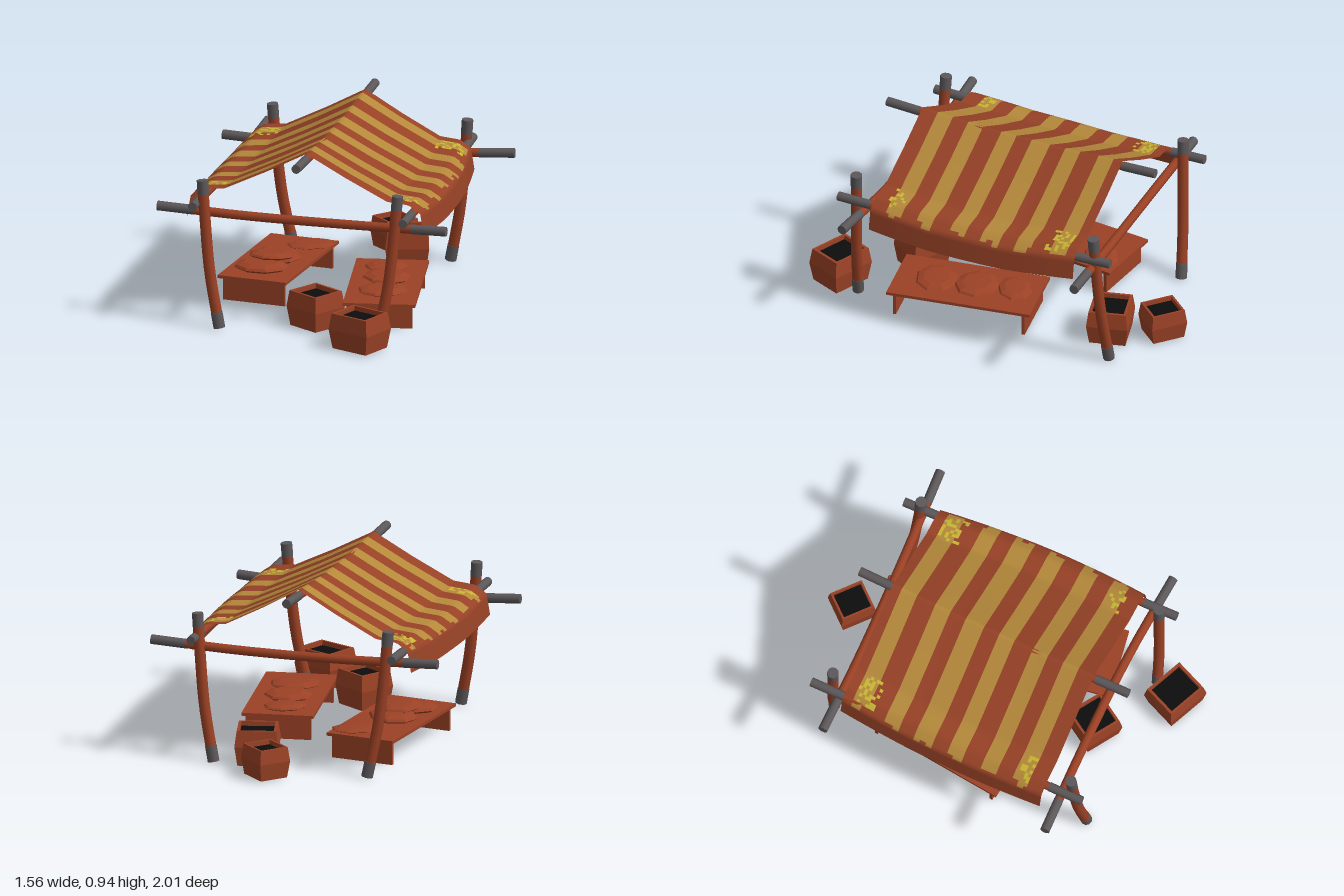
import * as THREE from 'three';

const mat = (name, color, extra = {}) => {
  const m = new THREE.MeshStandardMaterial({ color, ...extra });
  m.name = name;
  return m;
};

// Repeatable pseudo-random value for a pair of numbers
const hash = (a, b) => {
  const s = Math.sin(a * 127.1 + b * 311.7) * 43758.5453;
  return s - Math.floor(s);
};

export function createModel() {
  const group = new THREE.Group();
  group.name = 'marketStall';
  const wood = mat('red wood', 0x9c4226, { flatShading: true });
  const poleWood = mat('pole wood', 0x9a4024);
  const grey = mat('grey pole end', 0x5c5759);
  const black = mat('dark inside', 0x0d0d0d);
  const clothRed = mat('cloth red', 0x964126, { side: THREE.DoubleSide });
  const clothYellow = mat('cloth ochre', 0xb4883a, { side: THREE.DoubleSide });
  const clothBright = mat('cloth bright yellow', 0xc6b532, { side: THREE.DoubleSide });

  const add = (parent, name, geometry, material) => {
    const m = new THREE.Mesh(geometry, material);
    m.name = name;
    parent.add(m);
    return m;
  };

  // Bent pole with a grey sleeve on each end
  const pole = (name, pts, r, endA, endB) => {
    const g = new THREE.Group();
    g.name = name;
    group.add(g);
    const curve = new THREE.CatmullRomCurve3(pts.map(p => new THREE.Vector3(...p)));
    add(g, name + 'Shaft', new THREE.TubeGeometry(curve, 12, r, 10), poleWood);
    const len = curve.getLength();
    [[0, endA / len], [1, 1 - endB / len]].forEach(([u, v]) => {
      const a = curve.getPointAt(u), b = curve.getPointAt(v);
      const cap = add(g, name + 'End', new THREE.CylinderGeometry(r * 1.06, r * 1.06, a.distanceTo(b), 10), grey);
      cap.position.copy(a).lerp(b, 0.5);
      cap.quaternion.setFromUnitVectors(new THREE.Vector3(0, 1, 0), b.sub(a).normalize());
    });
  };

  // Four curved corner posts
  for (const sx of [-1, 1]) for (const sz of [-1, 1]) {
    pole('cornerPost', [
      [sx * 0.425, 0.004, sz * 0.73], [sx * 0.482, 0.3, sz * 0.712],
      [sx * 0.513, 0.6, sz * 0.697], [sx * 0.528, 0.79, sz * 0.69]], 0.029, 0.085, 0.075);
  }
  // Cross rails, eave rails and ridge
  pole('frontCrossRail', [[-0.78, 0.622, 0.66], [-0.3, 0.597, 0.635], [0.3, 0.592, 0.625], [0.78, 0.605, 0.65]], 0.024, 0.19, 0.19);
  pole('backCrossRail', [[-0.78, 0.62, -0.627], [-0.3, 0.6, -0.637], [0.3, 0.602, -0.668], [0.78, 0.625, -0.7]], 0.024, 0.19, 0.19);
  pole('rightEaveRail', [[-0.58, 0.665, -0.79], [-0.565, 0.65, 0], [-0.56, 0.665, 0.77]], 0.023, 0.19, 0.19);
  pole('leftEaveRail', [[0.53, 0.665, -0.79], [0.56, 0.65, 0], [0.577, 0.665, 0.77]], 0.023, 0.19, 0.19);
  pole('ridgePole', [[0, 0.917, -0.79], [0, 0.892, 0], [0, 0.917, 0.77]], 0.023, 0.19, 0.19);

  // Striped cloth: half profile from the ridge to the hanging hem
  const profile = [[0, 0.92], [0.22, 0.805], [0.45, 0.695], [0.57, 0.685], [0.635, 0.645], [0.655, 0.53]];
  const steps = [0];
  profile.slice(1).forEach((p, i) => steps.push(steps[i] + Math.hypot(p[0] - profile[i][0], p[1] - profile[i][1])));
  const total = steps[steps.length - 1];
  const clothPoint = (s, z) => {
    const a = Math.min(Math.abs(s), total);
    let k = 1;
    while (k < steps.length - 1 && a > steps[k]) k++;
    const t = (a - steps[k - 1]) / (steps[k] - steps[k - 1]);
    const [p, q] = [profile[k - 1], profile[k]];
    const narrow = 1 - (s > 0 ? 0.1 : 0.05) * ((z - 0.15) / 0.75) ** 2;
    const lift = 0.02 * Math.max(0, (Math.abs(z) - 0.22) / 0.36);
    return [Math.sign(s) * (p[0] + (q[0] - p[0]) * t) * narrow, p[1] + (q[1] - p[1]) * t + lift, z];
  };
  // 0 red, 1 ochre, 2 bright worn patch
  const clothColour = (s, z) => {
    const a = Math.abs(s), cx = Math.round(s * 60), cz = Math.round(z * 60);
    const corner = a > 0.5 && a < 0.67 && (z > 0.41 || z < -0.43) && Math.abs(z + 0.02) < 0.52;
    if (corner && hash(cx, cz) > 0.62) return 2;
    const end = 0.665 + 0.04 * hash(Math.round(z * 25), Math.sign(s) + 3);
    const band = Math.floor((z + 0.545) / 0.0936);
    return z > -0.545 && z < 0.49 && a < end && band % 2 === 0 ? 1 : 0;
  };
  const nz = 66, ns = 88, z0 = -0.6, z1 = 0.565;
  const verts = [], faces = [[], [], []];
  for (let j = 0; j <= nz; j++) for (let i = 0; i <= ns; i++) {
    verts.push(...clothPoint((i / ns * 2 - 1) * total, z0 + (z1 - z0) * j / nz));
  }
  for (let j = 0; j < nz; j++) for (let i = 0; i < ns; i++) {
    const a = j * (ns + 1) + i, c = a + ns + 1;
    const colour = clothColour(((i + 0.5) / ns * 2 - 1) * total, z0 + (z1 - z0) * (j + 0.5) / nz);
    faces[colour].push(a, c, a + 1, a + 1, c, c + 1);
  }
  const cloth = new THREE.BufferGeometry();
  cloth.setAttribute('position', new THREE.Float32BufferAttribute(verts, 3));
  cloth.setIndex(faces.flat());
  let start = 0;
  faces.forEach((f, i) => { cloth.addGroup(start, f.length, i); start += f.length; });
  cloth.computeVertexNormals();
  add(group, 'canopy', cloth, [clothRed, clothYellow, clothBright]);

  // Lathe from [radius, height] pairs with few sides, flat side facing the axes
  const faceted = (pts, sides) => {
    const g = new THREE.LatheGeometry(pts.map(p => new THREE.Vector2(...p)), sides);
    return g.rotateY(Math.PI / sides);
  };

  // Bulging open crates
  const crate = (x, z, w, d, h, turn) => {
    const g = new THREE.Group();
    g.name = 'crate';
    g.position.set(x, 0, z);
    g.rotation.y = turn;
    group.add(g);
    const q = Math.SQRT1_2;
    const shell = add(g, 'crateShell', faceted([[0.87 * q, 0], [q, 0.55 * h], [0.9 * q, h], [0.78 * q, h], [0.78 * q, h - 0.03]], 4), wood);
    shell.scale.set(w, 1, d);
    const fill = add(g, 'crateInside', new THREE.PlaneGeometry(w * 0.79, d * 0.79).rotateX(-Math.PI / 2), black);
    fill.position.y = h - 0.025;
    const base = add(g, 'crateBase', new THREE.PlaneGeometry(w * 0.87, d * 0.87).rotateX(Math.PI / 2), black);
    base.position.y = 0.001;
  };
  crate(0.37, 0.86, 0.25, 0.21, 0.19, -0.39);
  crate(0.045, 0.545, 0.22, 0.21, 0.19, -0.55);
  crate(0.085, -0.875, 0.2, 0.18, 0.165, -0.7);
  crate(0.215, -0.635, 0.23, 0.22, 0.19, 0.28);

  // Low benches carrying soft flat sacks: [x, z, width, depth, height, turn, base, tilt]
  const bench = (name, x, z, turn, sacks) => {
    const g = new THREE.Group();
    g.name = name;
    g.position.set(x, 0, z);
    g.rotation.y = turn;
    group.add(g);
    add(g, 'benchTop', new THREE.BoxGeometry(0.38, 0.016, 0.78), wood).position.y = 0.132;
    for (const s of [-1, 1]) {
      add(g, 'benchLeg', new THREE.BoxGeometry(0.345, 0.126, 0.016), wood).position.set(0, 0.063, s * 0.35);
    }
    for (const [sx, sz, w, d, h, t, y = 0.138, tilt = 0] of sacks) {
      const m = add(g, 'sack', faceted([[0.44, 0], [0.54, 0.35], [0.5, 0.65], [0.34, 0.95], [0, 1]], 8), wood);
      m.scale.set(w, h, d);
      m.position.set(sx, y, sz);
      m.rotation.set(tilt, t, 0);
    }
  };
  bench('leftBench', 0.315, 0.145, 0.175, [
    [0, 0.17, 0.25, 0.21, 0.03, 0.2], [0.0, -0.05, 0.24, 0.22, 0.036, -0.2], [-0.02, -0.25, 0.22, 0.17, 0.028, 0.4]]);
  bench('rightBench', -0.335, -0.1, -0.096, [
    [-0.02, 0.2, 0.27, 0.21, 0.042, 0.1], [-0.01, 0.0, 0.26, 0.22, 0.04, -0.3],
    [0.0, 0.09, 0.23, 0.2, 0.032, 0.3, 0.174, -0.08], [0.08, -0.27, 0.24, 0.17, 0.022, 0.6]]);

  return group;
}
